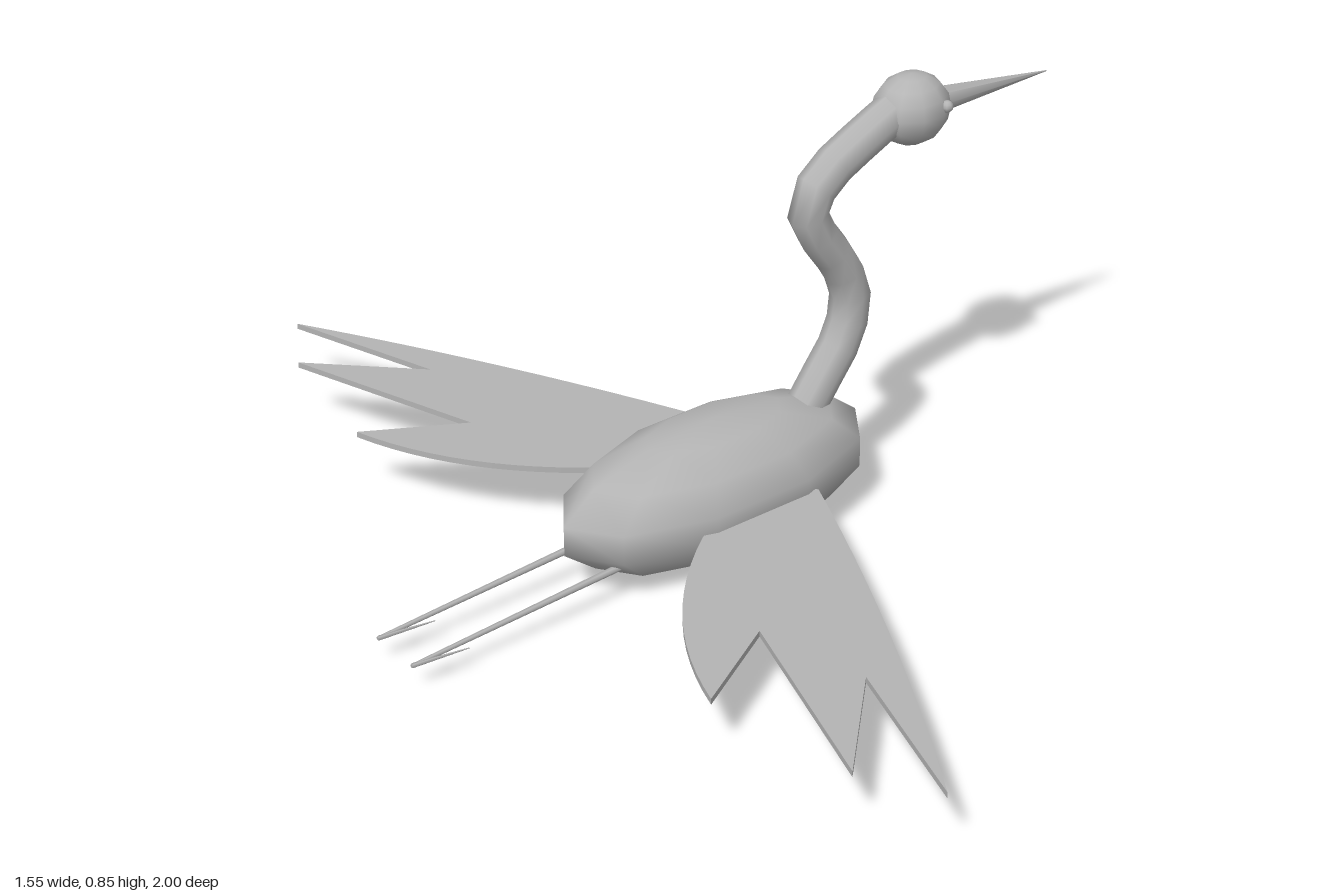
import * as THREE from 'three';

const grey = new THREE.MeshStandardMaterial({ color: 0xb4b4b4 });
grey.name = 'feather grey';

function part(name, geometry, parent) {
  const mesh = new THREE.Mesh(geometry, grey);
  mesh.name = name;
  parent.add(mesh);
  return mesh;
}

// Tapered rod from a (radius ra) to b (radius rb)
function rod(name, a, b, ra, rb, sides, parent) {
  const from = new THREE.Vector3(...a);
  const dir = new THREE.Vector3(...b).sub(from);
  const geo = new THREE.CylinderGeometry(rb, ra, dir.length(), sides);
  const mesh = part(name, geo, parent);
  mesh.position.copy(from).addScaledVector(dir, 0.5);
  mesh.quaternion.setFromUnitVectors(new THREE.Vector3(0, 1, 0), dir.normalize());
  return mesh;
}

function ellipsoid(name, centre, radii, w, h, parent) {
  const geo = new THREE.SphereGeometry(1, w, h);
  geo.scale(...radii);
  const mesh = part(name, geo, parent);
  mesh.position.set(...centre);
  return mesh;
}

// Flat wing with three pointed feathers, drawn outwards along the shape's y
function wingGeometry() {
  const s = new THREE.Shape();
  s.moveTo(-0.1, 0.1);
  s.lineTo(0.06, 0.1);
  s.lineTo(0.083, 0.15);
  s.quadraticCurveTo(-0.11, 0.6, -0.353, 1);
  s.lineTo(-0.245, 0.67);
  s.lineTo(-0.437, 0.86);
  s.lineTo(-0.3, 0.447);
  s.lineTo(-0.493, 0.555);
  s.quadraticCurveTo(-0.42, 0.31, -0.19, 0.145);
  return new THREE.ExtrudeGeometry(s, { depth: 0.012, bevelEnabled: false, curveSegments: 12 });
}

export function createModel() {
  const bird = new THREE.Group();
  bird.name = 'flyingBird';

  ellipsoid('body', [-0.05, 0.141, 0], [0.359, 0.137, 0.163], 10, 7, bird);

  // S-shaped neck
  const neck = new THREE.CatmullRomCurve3([
    [0.15, 0.19], [0.205, 0.265], [0.265, 0.35], [0.281, 0.43], [0.256, 0.5],
    [0.195, 0.59], [0.173, 0.648], [0.21, 0.7], [0.29, 0.745], [0.39, 0.79],
  ].map(([x, y]) => new THREE.Vector3(x, y, 0)));
  part('neck', new THREE.TubeGeometry(neck, 14, 0.04, 8, false), bird);

  // Head, beak and the single eye
  ellipsoid('head', [0.423, 0.78, 0], [0.08, 0.071, 0.07], 10, 8, bird);
  rod('beak', [0.47, 0.779, 0], [0.773, 0.758, 0], 0.028, 0.001, 8, bird);
  ellipsoid('eye', [0.459, 0.794, 0.061], [0.012, 0.012, 0.012], 8, 6, bird);

  // Wings, turned opposite ways about the body's mid height
  const wing = wingGeometry();
  const leftWing = part('nearWing', wing, bird);
  leftWing.rotation.x = Math.PI / 2;
  leftWing.position.y = 0.141;
  const rightWing = part('farWing', wing, bird);
  rightWing.rotation.x = -Math.PI / 2;
  rightWing.position.y = 0.141;

  // Trailing legs, each with a swept-back toe
  for (const z of [-0.055, 0.055]) {
    const leg = new THREE.Group();
    leg.name = z > 0 ? 'nearLeg' : 'farLeg';
    rod('shank', [-0.2, 0.086, z], [-0.775, 0.058, z], 0.008, 0.004, 6, leg);
    rod('toe', [-0.773, 0.058, z], [-0.667, 0.064, z + 0.024], 0.005, 0.001, 5, leg);
    bird.add(leg);
  }
  return bird;
}
